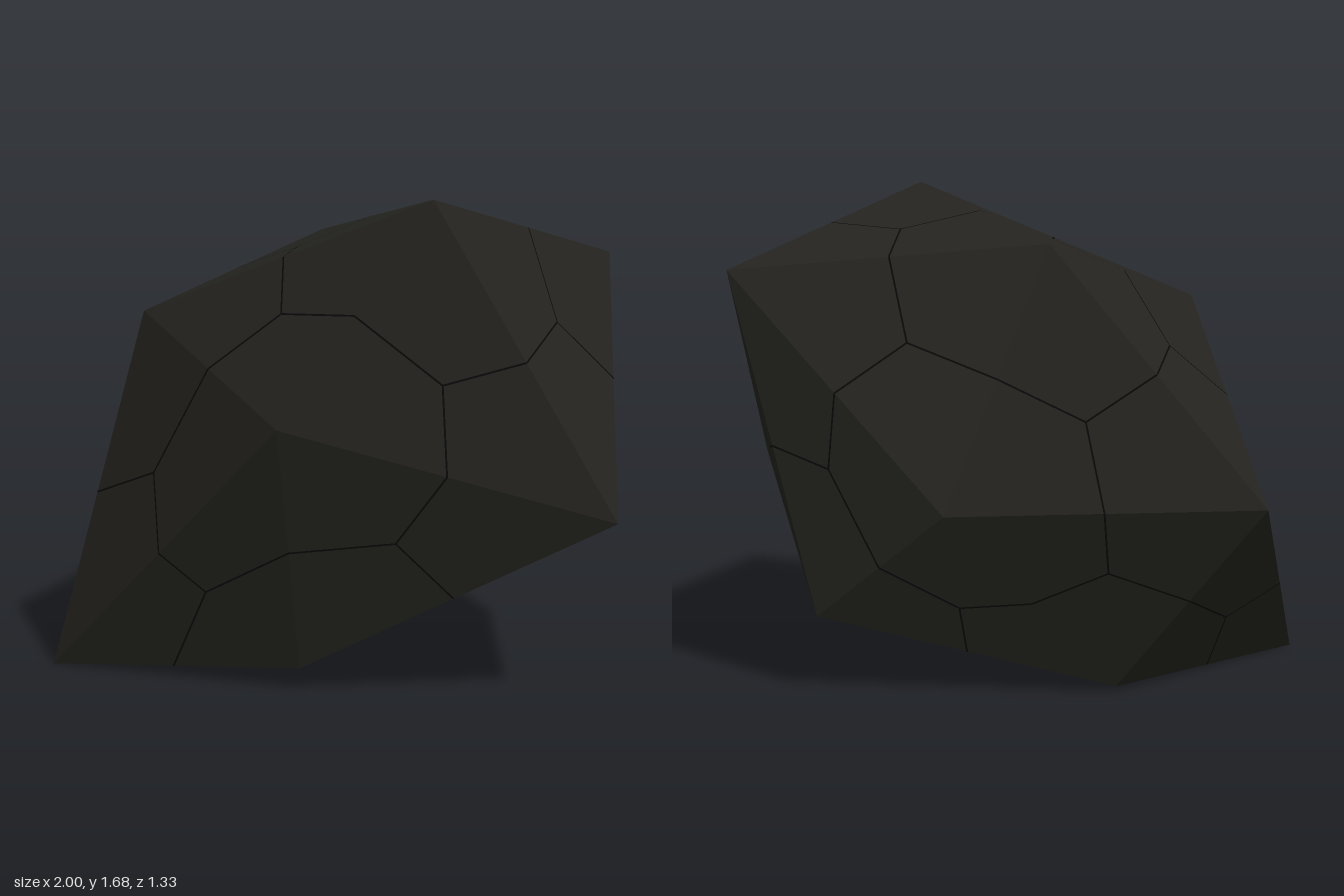
import * as THREE from 'three';

const v = (x, y, z) => new THREE.Vector3(x, y, z);

function meshFrom(points, color, name) {
  const geometry = new THREE.BufferGeometry().setFromPoints(points);
  geometry.computeVertexNormals();
  const mesh = new THREE.Mesh(geometry, new THREE.MeshStandardMaterial({ color, flatShading: true }));
  mesh.name = name;
  return mesh;
}

export function createModel() {
  const group = new THREE.Group();
  group.name = 'rock';

  // Irregular twenty-sided stone: front tip, two rings of five corners, back tip
  const frontTip = v(-0.07, 0.95, 0.66);
  const backTip = v(0.1, 0.64, -0.67);
  const frontRing = [
    v(0.4, 1.68, 0.49), v(-0.62, 1.28, 0.37), v(-1, 0, 0.34), v(-0.07, 0.08, 0.41), v(1, 0.66, 0.45),
  ];
  const backRing = [
    v(-0.2, 1.5, -0.37), v(-0.93, 0.68, -0.6), v(-0.43, 0.02, -0.37), v(0.55, 0.27, -0.56), v(0.82, 1.42, -0.61),
  ];
  const faces = [];
  for (let i = 0; i < 5; i++) {
    const j = (i + 1) % 5;
    faces.push(
      [frontTip, frontRing[i], frontRing[j]],
      [frontRing[j], frontRing[i], backRing[i]],
      [frontRing[j], backRing[i], backRing[j]],
      [backTip, backRing[j], backRing[i]],
    );
  }
  group.add(meshFrom(faces.flat(), 0x24231f, 'stone'));

  // Hairline seams from the middle of each facet to the middle of its edges
  const seams = [];
  for (const [a, b, c] of faces) {
    const normal = new THREE.Triangle(a, b, c).getNormal(v(0, 0, 0));
    const lift = normal.clone().multiplyScalar(0.0015);
    const center = a.clone().add(b).add(c).divideScalar(3).add(lift);
    for (const [p, q] of [[a, b], [b, c], [c, a]]) {
      const mid = p.clone().lerp(q, 0.5).add(lift);
      const side = normal.clone().cross(mid.clone().sub(center)).setLength(0.003);
      const c0 = center.clone().sub(side), c1 = center.clone().add(side);
      const m0 = mid.clone().sub(side), m1 = mid.clone().add(side);
      seams.push(c0, m0, m1, c0, m1, c1);
    }
  }
  group.add(meshFrom(seams, 0x080808, 'seams'));
  return group;
}
